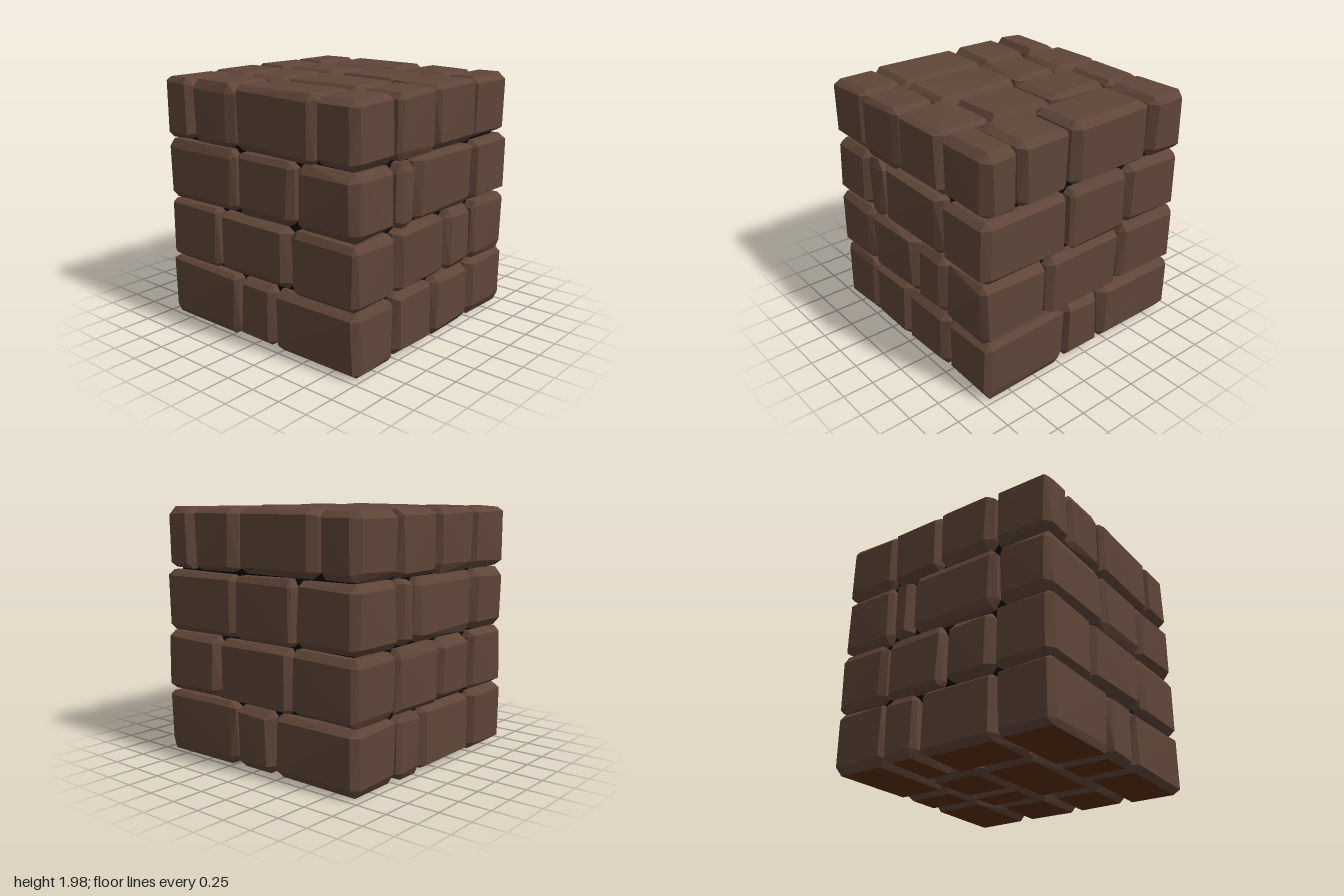
import * as THREE from 'three';
import { ConvexGeometry } from 'three/addons/geometries/ConvexGeometry.js';

const stone = new THREE.MeshStandardMaterial({ color: 0x5f4538, flatShading: true });
stone.name = 'brown stone';
const underside = new THREE.MeshStandardMaterial({ color: 0x5a2d0c, flatShading: true });
underside.name = 'earth brown underside';
const mortar = new THREE.MeshStandardMaterial({ color: 0x0c0907 });
mortar.name = 'dark joint';

let seed = 11;
function rnd(a, b) {
  seed = (seed * 16807) % 2147483647;
  return a + (b - a) * (seed / 2147483647);
}

// Rough-hewn block: each corner is cut by its own bevel; each side leans slightly.
function blockGeometry(min, max, flatBottom) {
  const points = [];
  const bevel = [0, 1, 2].map(() => [rnd(0.035, 0.075), rnd(0.035, 0.075)]);
  for (let i = 0; i < 8; i++) {
    const side = [i & 1, (i >> 1) & 1, (i >> 2) & 1];
    for (let face = 0; face < 3; face++) {
      const p = [0, 1, 2].map((axis) => {
        const dir = side[axis] ? -1 : 1;
        const edge = side[axis] ? max[axis] : min[axis];
        if (axis !== face) return edge + dir * (bevel[axis][side[axis]] + rnd(-0.012, 0.012));
        const onFloor = flatBottom && axis === 1 && !side[axis];
        return edge + dir * (onFloor ? 0 : rnd(0, 0.014));
      });
      points.push(new THREE.Vector3(...p));
    }
  }
  return new ConvexGeometry(points);
}

// Sorts the downward triangles into a second material group.
function splitUnderside(geometry) {
  const pos = geometry.attributes.position.array;
  const nor = geometry.attributes.normal.array;
  const sides = [], floor = [];
  for (let v = 0; v < pos.length / 3; v += 3) {
    (nor[v * 3 + 1] < -0.95 ? floor : sides).push(v, v + 1, v + 2);
  }
  geometry.setIndex([...sides, ...floor]);
  geometry.addGroup(0, sides.length, 0);
  geometry.addGroup(sides.length, floor.length, 1);
}

// Courses from the ground up. Each run is [axis, across from, across to, joint positions along axis].
const E = 0.985, H = 0.495;
const courses = [
  [
    ['z', -E, -0.51, [-0.99, -0.2, 0.18, 0.99]],
    ['z', 0.485, E, [-0.98, -0.18, 0.2, 0.99]],
    ['x', 0.42, 0.99, [-0.51, -0.035, 0.485]],
    ['x', -0.98, -0.45, [-0.51, 0.17, 0.485]],
    ['z', -0.51, 0, [-0.45, 0.42]],
    ['z', 0, 0.485, [-0.45, 0.1, 0.42]],
  ],
  [
    ['z', -E, -0.5, [-0.99, -0.4, 0.35, 0.99]],
    ['z', 0.49, E, [-0.98, -0.355, 0.395, 0.99]],
    ['x', 0.5, 0.99, [-0.5, 0.125, 0.48]],
    ['x', -0.98, -0.5, [-0.5, -0.05, 0.49]],
  ],
  [
    ['z', -E, -0.515, [-0.99, -0.2, 0.4, 0.99]],
    ['z', 0.485, E, [-0.98, -0.39, 0.2, 0.99]],
    ['x', 0.5, 0.99, [-0.51, -0.29, 0.48]],
    ['x', -0.98, -0.5, [-0.515, 0.28, 0.485]],
  ],
  [
    ['z', -E, -0.5, [-0.99, -0.675, -0.19, 0.6, 0.98]],
    ['z', -0.5, 0.01, [-1, -0.55, -0.13, 0.605, 0.6]].map((r, i) => (i === 3 ? r.slice(0, 4) : r)),
    ['x', 0.605, 0.99, [-0.51, -0.04]],
    ['z', 0.015, 0.49, [-0.99, -0.62, -0.07, 0.515]],
    ['x', 0.515, 0.99, [-0.04, 0.48]],
    ['z', 0.485, E, [-0.985, -0.605, 0.18, 0.665, 0.97]],
  ],
];

export function createModel() {
  const model = new THREE.Group();
  model.name = 'brickCube';

  courses.forEach((runs, level) => {
    const course = new THREE.Group();
    course.name = `course${level + 1}`;
    const y0 = level * H, y1 = y0 + H;
    for (const [axis, a0, a1, joints] of runs) {
      for (let i = 0; i < joints.length - 1; i++) {
        const along = [joints[i] + 0.003, joints[i + 1] - 0.003];
        const x = axis === 'x' ? along : [a0, a1];
        const z = axis === 'x' ? [a0, a1] : along;
        const geometry = blockGeometry([x[0], y0, z[0]], [x[1], y1, z[1]], level === 0);
        let material = stone;
        if (level === 0) {
          splitUnderside(geometry);
          material = [stone, underside];
        }
        const block = new THREE.Mesh(geometry, material);
        block.name = 'stoneBlock';
        course.add(block);
      }
    }
    model.add(course);
  });

  // Dark filling seen in the joints
  const core = new THREE.Mesh(new THREE.BoxGeometry(1.76, 1.76, 1.76), mortar);
  core.name = 'jointFilling';
  core.position.y = 0.99;
  model.add(core);
  return model;
}
